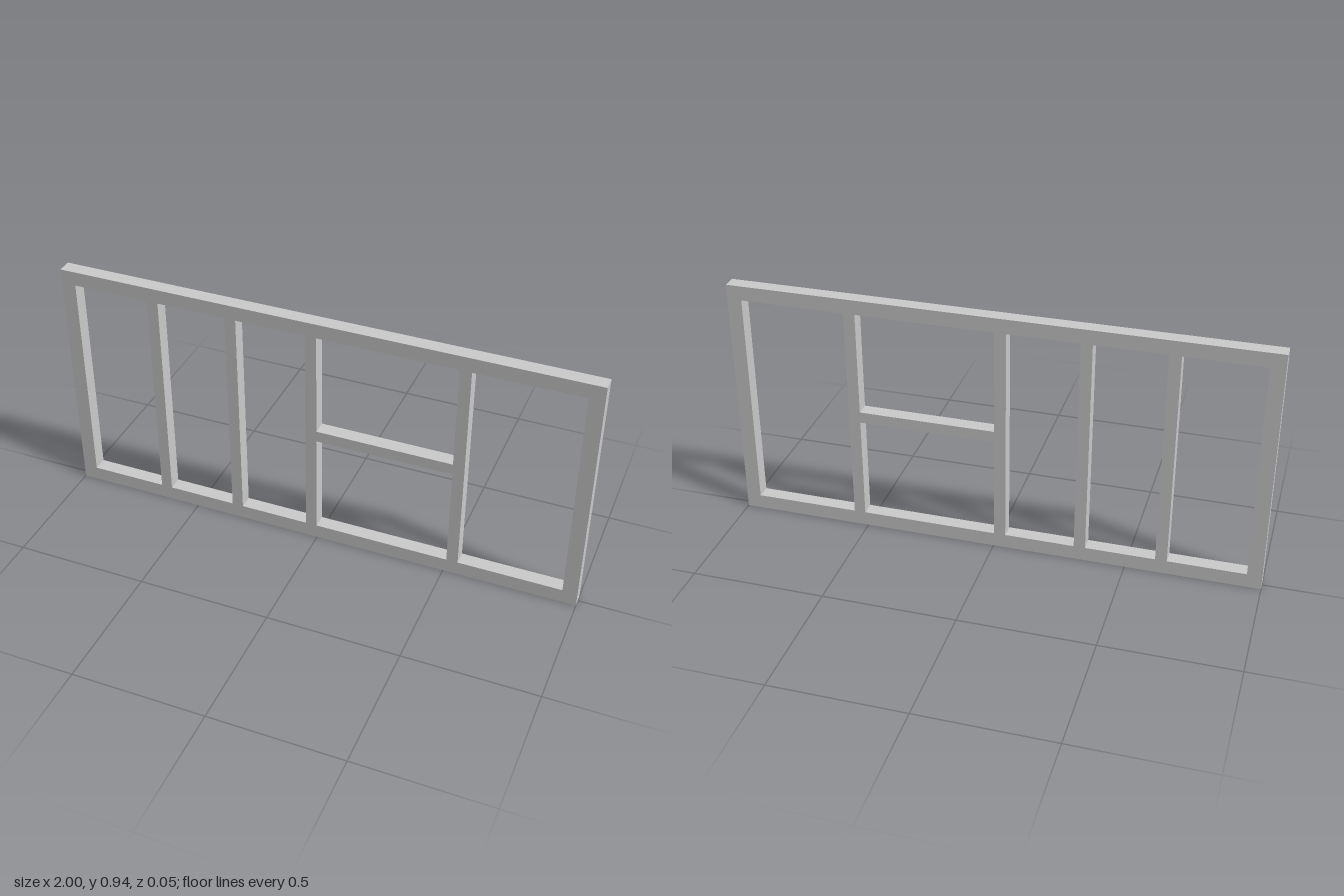
import * as THREE from 'three';

const WIDTH = 2, HEIGHT = 0.945, DEPTH = 0.054;
const BORDER = 0.055, BAR = 0.043;

// Traces a rectangle on a Shape or Path
function rect(path, x0, y0, x1, y1) {
  path.moveTo(x0, y0);
  path.lineTo(x1, y0);
  path.lineTo(x1, y1);
  path.lineTo(x0, y1);
  path.closePath();
  return path;
}

export function createModel() {
  const group = new THREE.Group();
  group.name = 'windowFrame';

  const outline = rect(new THREE.Shape(), -WIDTH / 2, 0, WIDTH / 2, HEIGHT);
  const bottom = BORDER, top = HEIGHT - BORDER, middle = HEIGHT / 2;
  const addOpening = (x0, y0, x1, y1) => outline.holes.push(rect(new THREE.Path(), x0, y0, x1, y1));

  // Openings between the upright bars; the fourth bay is split by a cross rail
  const bars = [-0.633, -0.329, -0.024, 0.532];
  const splitBay = 3;
  for (let i = 0; i <= bars.length; i++) {
    const x0 = i === 0 ? -WIDTH / 2 + BORDER : bars[i - 1] + BAR / 2;
    const x1 = i === bars.length ? WIDTH / 2 - BORDER : bars[i] - BAR / 2;
    if (i === splitBay) {
      addOpening(x0, bottom, x1, middle - BAR / 2);
      addOpening(x0, middle + BAR / 2, x1, top);
    } else {
      addOpening(x0, bottom, x1, top);
    }
  }

  // Frame, bars and rail are flush, so they form one solid
  const geometry = new THREE.ExtrudeGeometry(outline, { depth: DEPTH, bevelEnabled: false });
  geometry.translate(0, 0, -DEPTH / 2);
  const frame = new THREE.Mesh(geometry, new THREE.MeshStandardMaterial({ color: 0xcccccc }));
  frame.name = 'frameWithBars';
  group.add(frame);
  return group;
}
